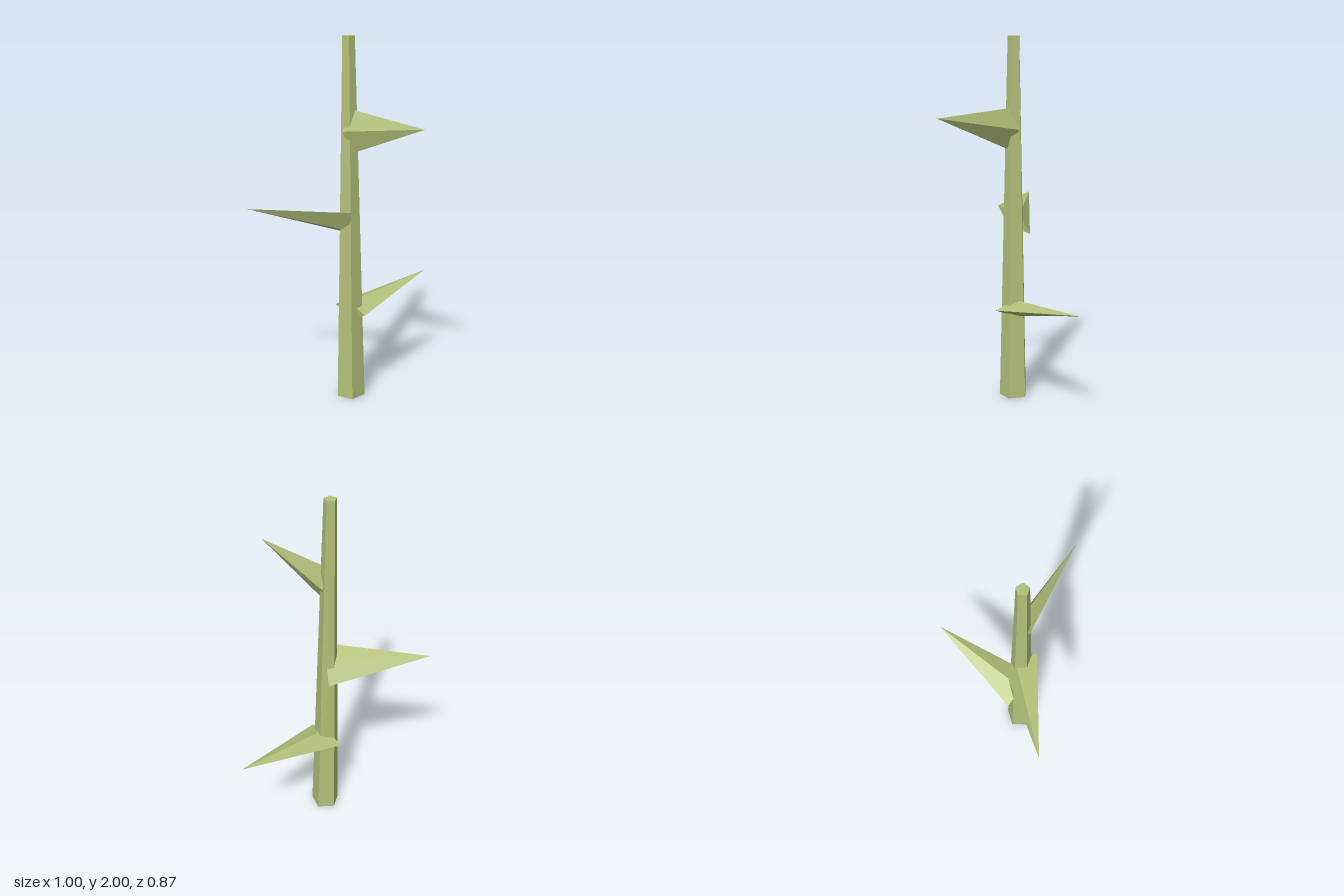
import * as THREE from 'three';

export function createModel() {
  const group = new THREE.Group();
  const stemGreen = new THREE.MeshStandardMaterial({ color: 0xb4c07a, flatShading: true });
  stemGreen.name = 'stemGreen';

  const AXIS_X = -0.099, AXIS_Z = -0.064;

  // Tapered five-sided stem, flat side to the front
  const stem = new THREE.Mesh(
    new THREE.CylinderGeometry(0.034, 0.08, 2, 5, 1, false, Math.PI), stemGreen);
  stem.name = 'stem';
  stem.position.set(AXIS_X, 1, AXIS_Z);
  group.add(stem);

  // Flattened four-sided spike from the stem axis to a tip;
  // wide = half of the long diagonal of its diamond base
  function addThorn(name, y, tip, wide) {
    const base = new THREE.Vector3(AXIS_X, y, AXIS_Z);
    const along = new THREE.Vector3(...tip).sub(base);
    const dir = along.clone().normalize();
    const long = new THREE.Vector3(...wide);
    long.addScaledVector(dir, -long.dot(dir)).setLength(0.119);
    const short = long.clone().cross(dir).setLength(0.047);

    const geometry = new THREE.ConeGeometry(1, 1, 4);
    geometry.translate(0, 0.5, 0);
    geometry.applyMatrix4(new THREE.Matrix4().makeBasis(long, along, short).setPosition(base));
    geometry.computeVertexNormals();
    const thorn = new THREE.Mesh(geometry, stemGreen);
    thorn.name = name;
    group.add(thorn);
  }

  addThorn('lowerThorn', 0.505, [0.5, 0.592, -0.066], [0, 0, 1]);
  addThorn('middleThorn', 1.005, [-0.5, 1.085, -0.435], [0.0475, -0.0775, -0.0715]);
  addThorn('upperThorn', 1.505, [-0.053, 1.58, 0.435], [0.01, 0.119, -0.018]);

  return group;
}
